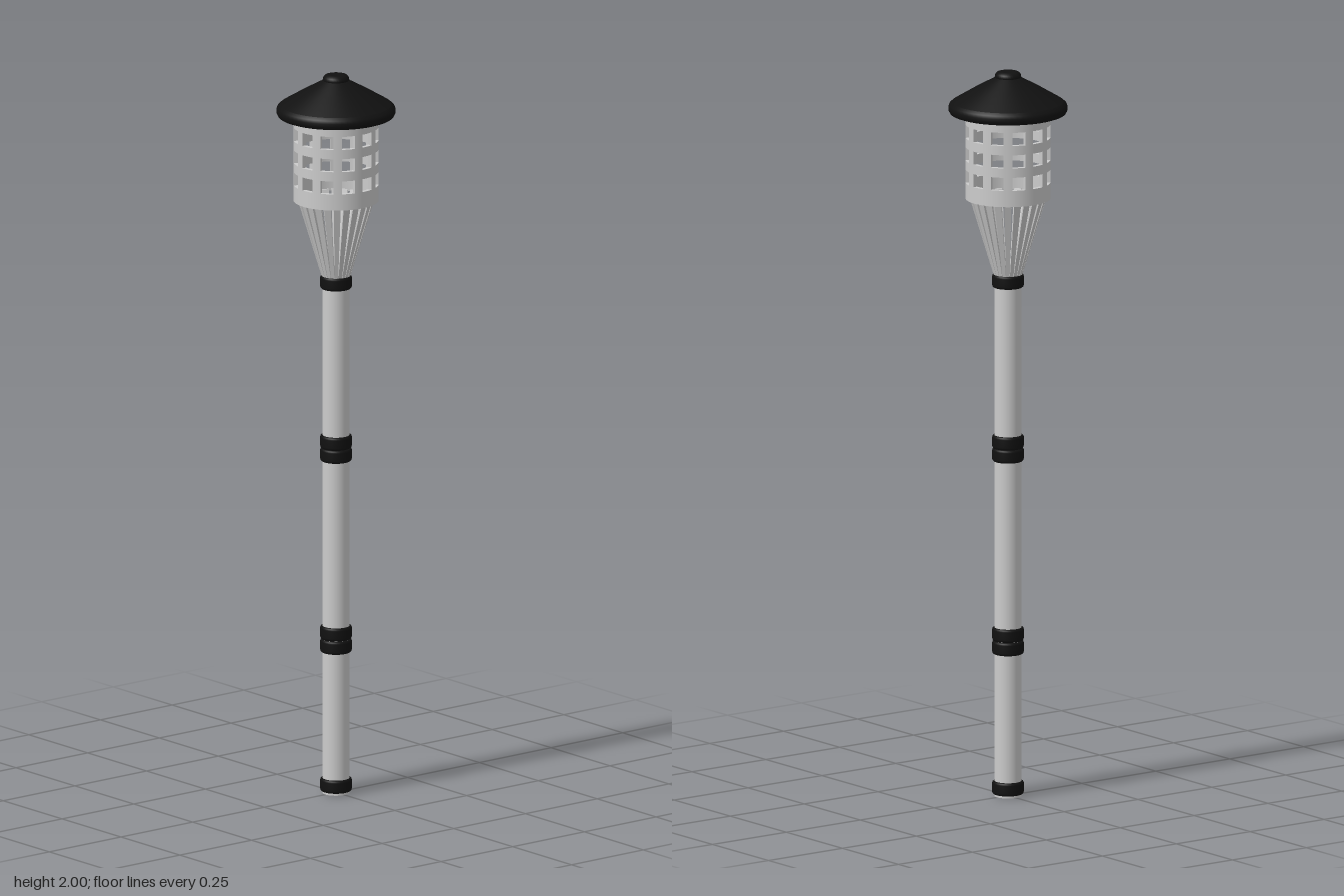
import * as THREE from 'three';
import { mergeGeometries } from 'three/addons/utils/BufferGeometryUtils.js';

const grey = new THREE.MeshStandardMaterial({ color: 0xcccccc });
const black = new THREE.MeshStandardMaterial({ color: 0x111111 });
const rad = THREE.MathUtils.degToRad;

function add(group, name, geometry, material) {
  const mesh = new THREE.Mesh(geometry, material);
  mesh.name = name;
  group.add(mesh);
  return mesh;
}

// Lathe whose corners stay sharp: each profile run is turned separately
function turned(runs, segments = 48) {
  return mergeGeometries(runs.map((run) =>
    new THREE.LatheGeometry(run.map(([r, y]) => new THREE.Vector2(r, y)), segments)));
}

// Curved wall block: a box bent round the y axis, normals turned with it
function bentBlock(angle, span, y0, y1, radius, thickness) {
  const g = new THREE.BoxGeometry(span, y1 - y0, thickness, 4, 1, 1);
  const p = g.attributes.position, n = g.attributes.normal;
  for (let i = 0; i < p.count; i++) {
    const a = angle + p.getX(i), r = radius - thickness / 2 + p.getZ(i);
    const s = Math.sin(a), c = Math.cos(a), nx = n.getX(i), nz = n.getZ(i);
    p.setXYZ(i, r * s, p.getY(i) + (y0 + y1) / 2, r * c);
    n.setXYZ(i, nx * c + nz * s, n.getY(i), nz * c - nx * s);
  }
  return g;
}

// Tapered slat leaning outwards, from the pole to the lantern wall
function slat(angle, low, high, thickness) {
  const g = new THREE.BoxGeometry(1, 1, thickness);
  const p = g.attributes.position;
  for (let i = 0; i < p.count; i++) {
    const end = p.getY(i) > 0 ? high : low;
    p.setXYZ(i, p.getX(i) * end.width, end.y, end.r - thickness / 2 + p.getZ(i));
  }
  g.computeVertexNormals();
  return g.rotateY(angle);
}

export function createModel() {
  const model = new THREE.Group();
  model.name = 'gardenTorch';

  // Pole
  const pole = new THREE.CylinderGeometry(0.037, 0.037, 1.435, 32);
  add(model, 'pole', pole.translate(0, 0.7175, 0), grey);

  // Rounded bands: single at both ends, pairs at the joints
  const h = 0.018, b = 0.007;
  const band = turned([[
    [0.034, -h], [0.039, -h], [0.042, -h + b * 0.4], [0.043, -h + b],
    [0.043, h - b], [0.042, h - b * 0.4], [0.039, h], [0.034, h],
  ]], 32);
  for (const y of [0.024, 0.411, 0.448, 0.943, 0.979, 1.423]) {
    add(model, 'poleBand', band, black).position.y = y;
  }

  // Slatted funnel with open gaps
  const slats = [];
  for (let i = 0; i < 24; i++) {
    slats.push(slat(rad(i * 15 + 7.5),
      { y: 1.43, r: 0.036, width: 0.009 }, { y: 1.655, r: 0.104, width: 0.019 }, 0.006));
  }
  add(model, 'funnelSlats', mergeGeometries(slats), grey);

  // Lantern wall: posts and crossbars leaving three rows of windows
  const R = 0.115, T = 0.012, columns = 12, pitch = rad(360 / columns), hole = rad(18);
  const bars = [[1.65, 1.695], [1.731, 1.757], [1.793, 1.819], [1.855, 1.89]];
  const blocks = [];
  for (let i = 0; i < columns; i++) {
    const centre = rad(8) + i * pitch;
    blocks.push(bentBlock(centre + pitch / 2, pitch - hole, 1.65, 1.89, R, T));
    for (const [y0, y1] of bars) blocks.push(bentBlock(centre, hole, y0, y1, R, T));
  }
  add(model, 'lanternWall', mergeGeometries(blocks), grey);

  // Conical roof with a rounded rim
  add(model, 'roof', turned([
    [[0, 1.883], [0.148, 1.883]],
    [[0.148, 1.883], [0.156, 1.886], [0.16, 1.893], [0.161, 1.902], [0.158, 1.91], [0.15, 1.917]],
    [[0.15, 1.917], [0.09, 1.953], [0.03, 1.986]],
  ], 64), black);

  // Small rounded knob on top
  add(model, 'roofKnob', turned([
    [[0.026, 1.978], [0.033, 1.98], [0.036, 1.986], [0.034, 1.993], [0.029, 1.998], [0.022, 2]],
    [[0.022, 2], [0, 2]],
  ], 32), black);

  return model;
}
